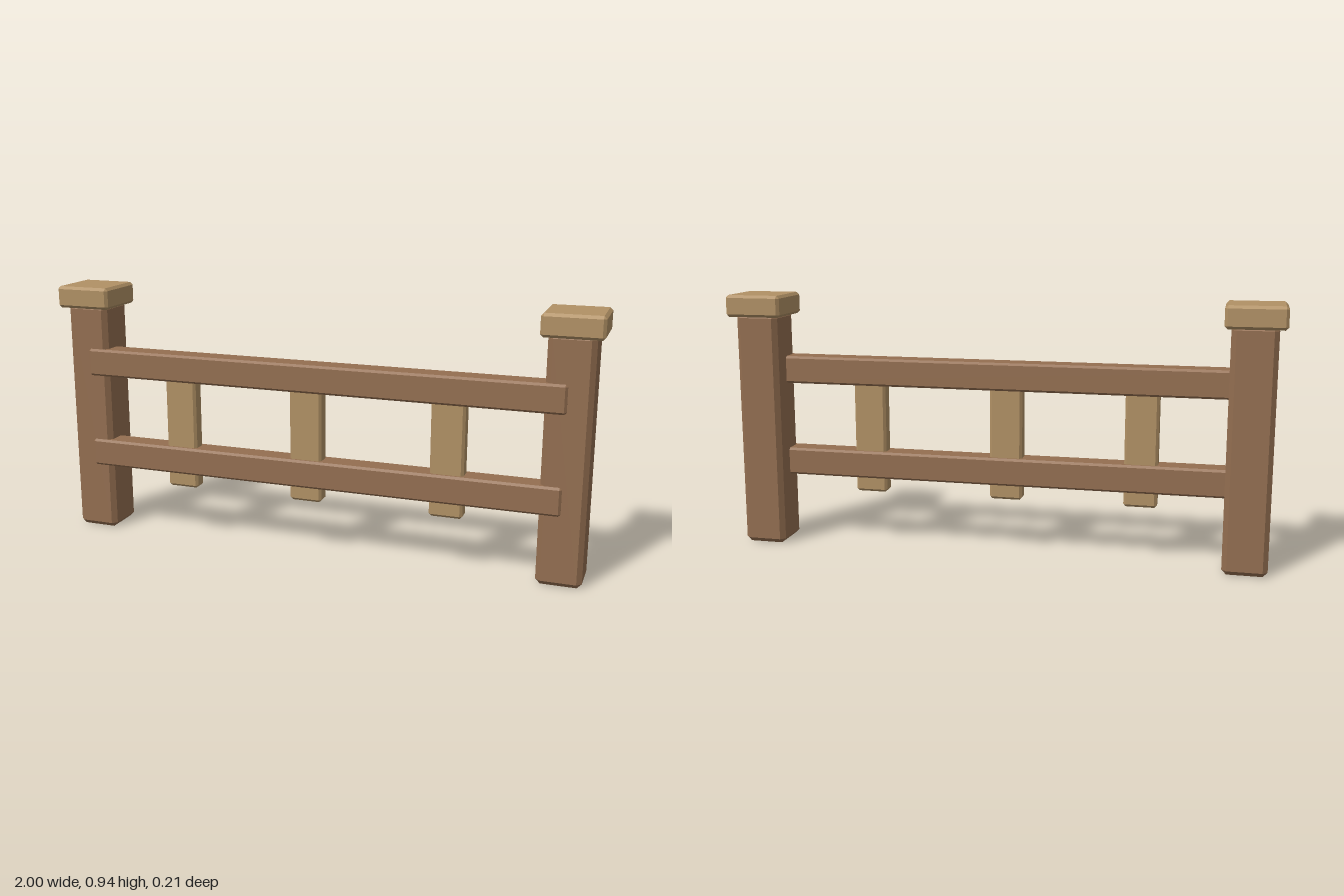
import * as THREE from 'three';
import { ConvexGeometry } from 'three/addons/geometries/ConvexGeometry.js';

// Box with every edge and corner cut off by a flat bevel b
function bevelBox(w, h, d, b) {
  const points = [];
  for (const sx of [-1, 1]) for (const sy of [-1, 1]) for (const sz of [-1, 1]) {
    const x = w / 2, y = h / 2, z = d / 2;
    points.push(
      new THREE.Vector3(sx * x, sy * (y - b), sz * (z - b)),
      new THREE.Vector3(sx * (x - b), sy * y, sz * (z - b)),
      new THREE.Vector3(sx * (x - b), sy * (y - b), sz * z)
    );
  }
  return new ConvexGeometry(points);
}

export function createModel() {
  const model = new THREE.Group();
  model.name = 'fence';

  const brownWood = new THREE.MeshStandardMaterial({ color: 0x946f51 });
  brownWood.name = 'brown wood';
  const tanWood = new THREE.MeshStandardMaterial({ color: 0xb19165 });
  tanWood.name = 'tan wood';

  function add(name, geometry, material, x, y, z) {
    const mesh = new THREE.Mesh(geometry, material);
    mesh.name = name;
    mesh.position.set(x, y, z);
    model.add(mesh);
  }

  // Posts with their caps
  const post = bevelBox(0.158, 0.874, 0.162, 0.017);
  const cap = bevelBox(0.208, 0.08, 0.208, 0.01);
  for (const [side, s] of [['left', 1], ['right', -1]]) {
    add(side + 'Post', post, brownWood, s * 0.894, 0.437, 0);
    add(side + 'PostCap', cap, tanWood, s * 0.896, 0.902, 0);
  }

  // Horizontal rails, set towards the front of the posts
  const rail = bevelBox(1.78, 0.102, 0.09, 0.008);
  add('lowerRail', rail, brownWood, 0, 0.306, 0.045);
  add('upperRail', rail, brownWood, 0, 0.658, 0.045);

  // Unevenly spaced slats, running through the rails
  const slat = bevelBox(0.12, 0.47, 0.058, 0.009);
  [-0.518, -0.025, 0.494].forEach((x, i) => {
    add('slat' + (i + 1), slat, tanWood, x, 0.435, 0.045);
  });

  return model;
}
